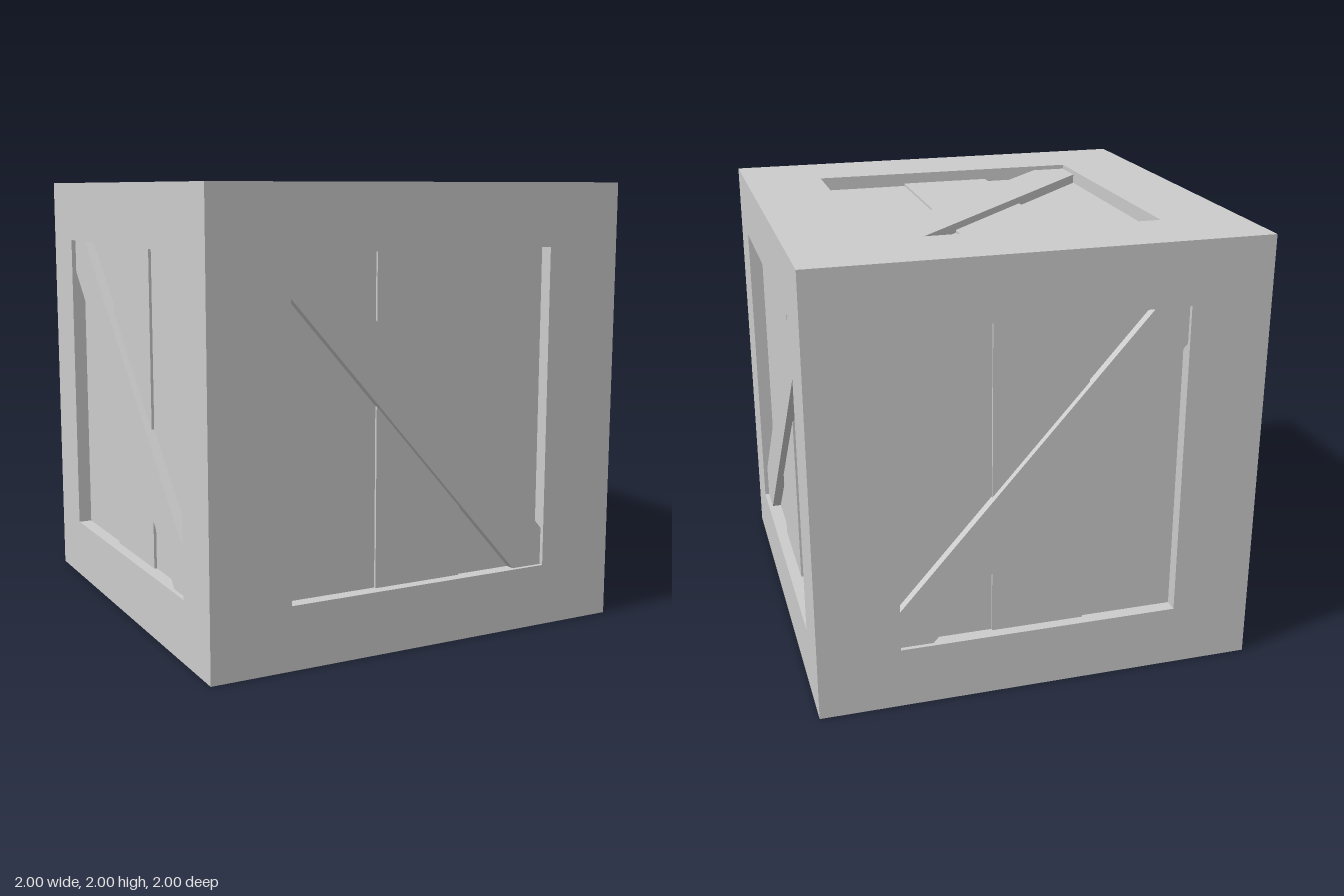
import * as THREE from 'three';

const RIM = 0.08;          // thickness of the mitred frame
const PLANK_Z = 0.938;     // outer face of the side planks
const MIDDLE_Z = 0.95;     // the middle plank stands slightly proud
const BRACE_Z = 0.98;      // outer face of the diagonal brace

const polygon = pts => pts.map(([x, y]) => new THREE.Vector2(x, y));

// Square frame, mitred at 45 degrees so neighbouring sides meet at the edges
function frameGeometry(hw, hh) {
  const shape = new THREE.Shape(polygon([[-1, -1], [1, -1], [1, 1], [-1, 1]]));
  if (hw) shape.holes.push(new THREE.Path(polygon([[-hw, -hh], [-hw, hh], [hw, hh], [hw, -hh]])));
  const geo = new THREE.ExtrudeGeometry(shape, { depth: RIM, bevelEnabled: false });
  geo.translate(0, 0, 1 - RIM);
  const p = geo.attributes.position;
  for (let i = 0; i < p.count; i++) {
    if (p.getZ(i) > 0.99) continue;
    for (const axis of ['X', 'Y']) {
      const v = p['get' + axis](i);
      if (Math.abs(v) > 0.99) p['set' + axis](i, Math.sign(v) * (1 - RIM));
    }
  }
  geo.computeVertexNormals();
  return geo;
}

// Diagonal board trimmed to the opening; rise = 1 climbs to the right, -1 falls
function braceGeometry(hw, hh, cutU, cutV, rise) {
  const pts = [
    [-hw, -hh], [-hw + cutU, -hh], [hw, hh - cutV],
    [hw, hh], [hw - cutU, hh], [-hw, -hh + cutV],
  ].map(([u, v]) => [u * rise, v]);
  const geo = new THREE.ExtrudeGeometry(new THREE.Shape(polygon(pts)),
    { depth: BRACE_Z - PLANK_Z, bevelEnabled: false });
  return geo.translate(0, 0, PLANK_Z);
}

export function createModel() {
  const crate = new THREE.Group();
  crate.name = 'crate';
  const grey = new THREE.MeshStandardMaterial({ color: 0xcccccc });
  grey.name = 'plain grey';

  const add = (parent, name, geo) => {
    const mesh = new THREE.Mesh(geo, grey);
    mesh.name = name;
    parent.add(mesh);
  };

  const sides = [
    { name: 'front', rot: [0, 0], hw: 0.635, hh: 0.72, cut: [0.15, 0.17], rise: -1 },
    { name: 'back', rot: [0, Math.PI], hw: 0.635, hh: 0.72, cut: [0.15, 0.17], rise: 1 },
    { name: 'left', rot: [0, Math.PI / 2], hw: 0.72, hh: 0.72, cut: [0.157, 0.157], rise: 1 },
    { name: 'right', rot: [0, -Math.PI / 2], hw: 0.72, hh: 0.72, cut: [0.157, 0.157], rise: -1 },
    { name: 'top', rot: [-Math.PI / 2, 0], hw: 0.635, hh: 0.635, cut: [0.16, 0.16], rise: 1 },
    { name: 'bottom', rot: [Math.PI / 2, 0] },
  ];

  for (const { name, rot, hw, hh, cut, rise } of sides) {
    const side = new THREE.Group();
    side.name = name + 'Side';
    side.rotation.set(rot[0], rot[1], 0);
    side.position.y = 1;
    crate.add(side);
    add(side, name + 'Frame', frameGeometry(hw, hh));
    if (!hw) continue; // the underside is a plain board

    // Three upright planks
    for (const i of [-1, 0, 1]) {
      const face = i === 0 ? MIDDLE_Z : PLANK_Z;
      const depth = face - (1 - RIM);
      const plank = new THREE.BoxGeometry(hw * 2 / 3, hh * 2, depth);
      plank.translate(i * hw * 2 / 3, 0, face - depth / 2);
      add(side, name + 'Plank' + (i + 2), plank);
    }
    add(side, name + 'Brace', braceGeometry(hw, hh, cut[0], cut[1], rise));
  }
  return crate;
}
